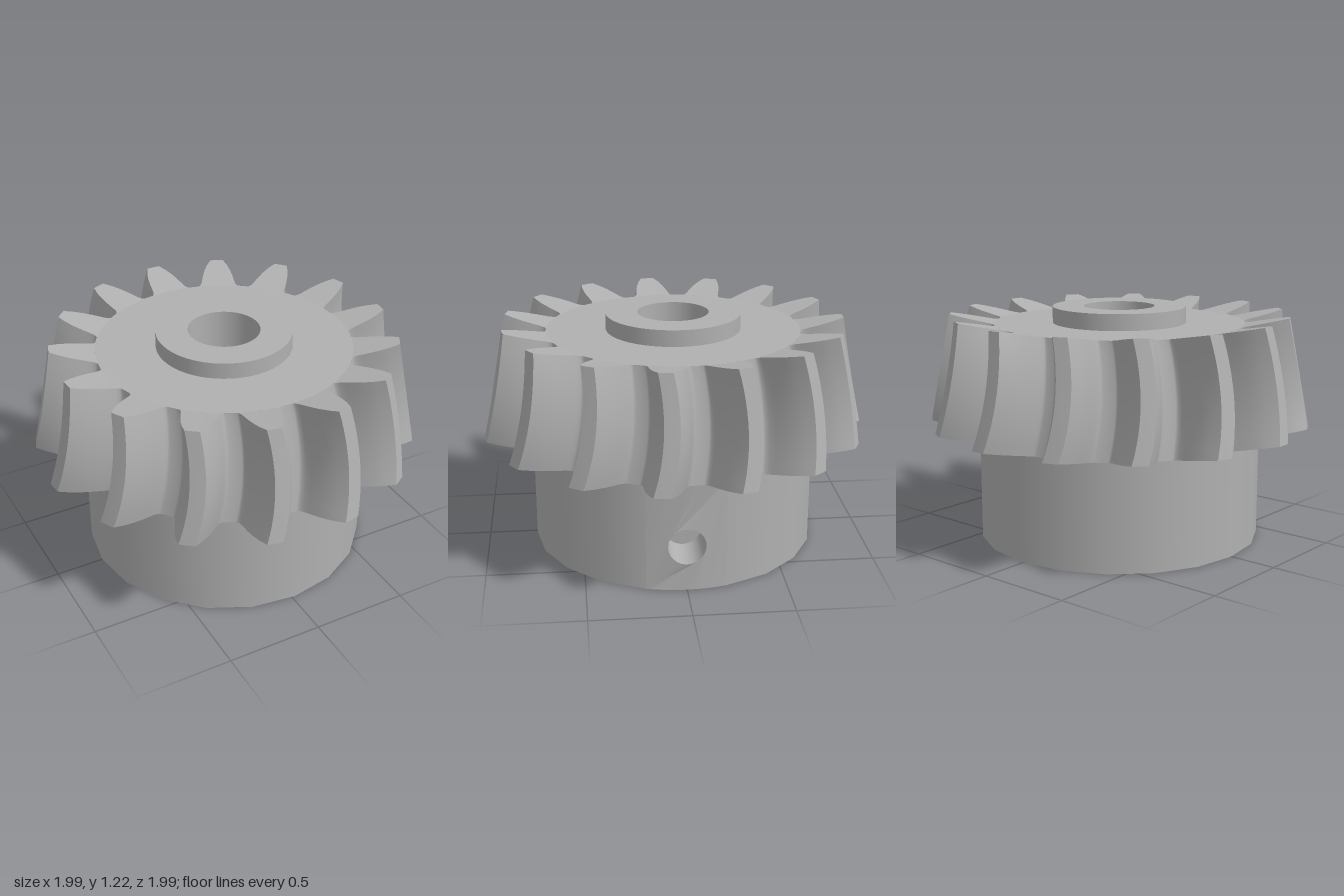
import * as THREE from 'three';
import { mergeGeometries } from 'three/addons/utils/BufferGeometryUtils.js';

const RAD = Math.PI / 180;
const TEETH = 15;
const HUB_R = 0.745, BORE_R = 0.185, BOSS_R = 0.35, ROOT_TOP = 0.66;
const Y_BACK = 0.56, Y_FACE = 1.135, Y_BOSS = 1.22;
const HOLE_R = 0.095, HOLE_Y = 0.235;
const SLOT = { x0: 0.35, x1: 0.52, halfZ: 0.165, top: 0.4 };
const HUB_PATCH = 0.2, BORE_PATCH = 0.14;

// Tooth half profile: [height from root to tip, half angle in degrees]
const PROFILE = [[0, 9.6], [0.03, 8.7], [0.1, 7.9], [0.22, 7.2], [0.4, 6.3], [0.6, 5.2], [0.8, 3.9], [1, 2.3]];

// Point on the spiral bevel ring: t from back (0) to face (1), h from root to tip
function gearPoint(t, h, deg) {
  const r = THREE.MathUtils.lerp(0.745 + 0.255 * h, ROOT_TOP + 0.23 * h, t);
  const y = THREE.MathUtils.lerp(Y_BACK + 0.05 * h, Y_FACE + 0.045 * h, t);
  const a = (deg + 9.7 + 0.8 * t + 9.2 * t * (1 - t)) * RAD;
  return [r * Math.sin(a), y, r * Math.cos(a)];
}

// Smooth grid of points, columns run around the axis and rows across it
function grid(cols, rows, point) {
  const pos = [], index = [];
  for (let i = 0; i < cols; i++) {
    for (let j = 0; j < rows; j++) {
      pos.push(...point(i, j));
      if (i < cols - 1 && j < rows - 1) {
        const a = i * rows + j, b = a + rows;
        index.push(a, b, a + 1, b + 1, a + 1, b);
      }
    }
  }
  const g = new THREE.BufferGeometry();
  g.setAttribute('position', new THREE.Float32BufferAttribute(pos, 3));
  g.setIndex(index);
  g.computeVertexNormals();
  return g;
}

// Straight surface of revolution between two profile points
function ring(r0, y0, r1, y1, seg = 48, start = 0, length = Math.PI * 2) {
  return new THREE.LatheGeometry([new THREE.Vector2(r0, y0), new THREE.Vector2(r1, y1)], seg, start, length);
}

// Upright wall with the round set-screw hole, bent to x = xAt(z)
function holedWall(xAt, facing, halfZ, top) {
  const pts = [], n = 8;
  for (let i = 0; i <= n; i++) pts.push(new THREE.Vector2(halfZ * (2 * i / n - 1), 0));
  for (let i = n; i >= 0; i--) pts.push(new THREE.Vector2(halfZ * (2 * i / n - 1), top));
  const shape = new THREE.Shape(pts);
  shape.holes.push(new THREE.Path().absarc(0, HOLE_Y, HOLE_R, 0, Math.PI * 2, true));
  const g = new THREE.ShapeGeometry(shape, 24);
  const p = g.attributes.position;
  for (let i = 0; i < p.count; i++) {
    const z = -facing * p.getX(i);
    p.setXYZ(i, xAt(z), p.getY(i), z);
  }
  g.computeVertexNormals();
  return g;
}

// Length of screw hole lining between two walls
function tunnel(xFrom, xTo) {
  const g = new THREE.CylinderGeometry(HOLE_R, HOLE_R, 1, 24, 1, true);
  g.rotateZ(Math.PI / 2).scale(1, 1, -1);
  const p = g.attributes.position;
  for (let i = 0; i < p.count; i++) {
    const z = p.getZ(i);
    p.setXYZ(i, p.getX(i) < 0 ? xFrom(z) : xTo(z), p.getY(i) + HOLE_Y, z);
  }
  g.computeVertexNormals();
  return g;
}

export function createModel() {
  const group = new THREE.Group();
  const steel = new THREE.MeshStandardMaterial({ color: 0xb0b0b0, side: THREE.DoubleSide });
  steel.name = 'plain grey';
  const add = (name, ...parts) => {
    const mesh = new THREE.Mesh(parts.length > 1 ? mergeGeometries(parts) : parts[0], steel);
    mesh.name = name;
    group.add(mesh);
  };
  const onHub = z => Math.sqrt(HUB_R ** 2 - z * z);
  const onBore = z => Math.sqrt(BORE_R ** 2 - z * z);
  const slotInner = () => SLOT.x0, slotOuter = () => SLOT.x1;

  // Hub wall: a partial cylinder closed by the patch with the screw hole
  const hubA = Math.asin(HUB_PATCH / HUB_R), hubSeg = 18;
  const hubStart = Math.PI / 2 + hubA, hubLen = 2 * Math.PI - 2 * hubA;
  add('hubWall', ring(HUB_R, 0, HUB_R, Y_BACK, hubSeg, hubStart, hubLen),
    holedWall(onHub, 1, HUB_PATCH, Y_BACK));

  // Bore wall, with the screw hole entering from the left
  const boreA = Math.asin(BORE_PATCH / BORE_R);
  add('bore', ring(BORE_R, Y_BOSS, BORE_R, Y_BACK),
    ring(BORE_R, Y_BACK, BORE_R, 0, 36, Math.PI / 2 + boreA, 2 * Math.PI - 2 * boreA),
    holedWall(onBore, -1, BORE_PATCH, Y_BACK));

  // Underside with bore and nut slot openings
  const rim = [];
  for (let i = 0; i <= hubSeg; i++) {
    const a = hubStart + hubLen * i / hubSeg;
    rim.push(new THREE.Vector2(HUB_R * Math.sin(a), HUB_R * Math.cos(a)));
  }
  for (let i = 1; i < 8; i++) {
    const z = HUB_PATCH * (2 * i / 8 - 1);
    rim.push(new THREE.Vector2(onHub(z), z * Math.sign(rim[hubSeg].y) * -1));
  }
  const base = new THREE.Shape(rim);
  base.holes.push(new THREE.Path().absarc(0, 0, BORE_R, 0, Math.PI * 2, true));
  base.holes.push(new THREE.Path([[SLOT.x0, -1], [SLOT.x0, 1], [SLOT.x1, 1], [SLOT.x1, -1]]
    .map(([x, s]) => new THREE.Vector2(x, s * SLOT.halfZ))));
  add('underside', new THREE.ShapeGeometry(base, 36).rotateX(Math.PI / 2));

  // Nut slot walls and ceiling
  const sx = SLOT.x1 - SLOT.x0, mx = (SLOT.x0 + SLOT.x1) / 2;
  add('nutSlot',
    holedWall(slotInner, 1, SLOT.halfZ, SLOT.top),
    holedWall(slotOuter, -1, SLOT.halfZ, SLOT.top),
    new THREE.PlaneGeometry(sx, SLOT.top).translate(mx, SLOT.top / 2, -SLOT.halfZ),
    new THREE.PlaneGeometry(sx, SLOT.top).rotateY(Math.PI).translate(mx, SLOT.top / 2, SLOT.halfZ),
    new THREE.PlaneGeometry(sx, 2 * SLOT.halfZ).rotateX(Math.PI / 2).translate(mx, SLOT.top, 0));
  add('screwHole', tunnel(onBore, slotInner), tunnel(slotOuter, onHub));

  // Gear face, raised boss and the back shoulder behind the teeth
  add('gearFace', ring(ROOT_TOP, Y_FACE, BOSS_R, Y_FACE, 60));
  add('boss', ring(BOSS_R, Y_FACE, BOSS_R, Y_BOSS), ring(BOSS_R, Y_BOSS, BORE_R, Y_BOSS));
  add('backShoulder', ring(0.7, Y_BACK, HUB_R, Y_BACK, 60));

  // Spiral teeth: tip land, gap to the next tooth, and both end faces
  const LEVELS = 13, pitch = 360 / TEETH, n = PROFILE.length;
  const gap = [
    ...PROFILE.map(([h, w]) => [h, w]).reverse(),
    [0, pitch / 2],
    ...PROFILE.map(([h, w]) => [h, pitch - w]),
  ];
  for (let k = 0; k < TEETH; k++) {
    const at = k * pitch;
    const endPoint = (t, i, j) => gearPoint(t, PROFILE[j][0], at + (i - 1) * PROFILE[j][1]);
    add('tooth',
      grid(3, LEVELS, (i, j) => gearPoint(j / (LEVELS - 1), 1, at + (i - 1) * PROFILE[n - 1][1])),
      grid(3, n, (i, j) => endPoint(0, i, j)),
      grid(3, n, (i, j) => endPoint(1, i, n - 1 - j)));
    add('toothGap', grid(gap.length, LEVELS, (i, j) =>
      gearPoint(j / (LEVELS - 1), gap[i][0], at + gap[i][1])));
  }
  // Lathe and shape parts carry uv data; the grids need none
  return group;
}
